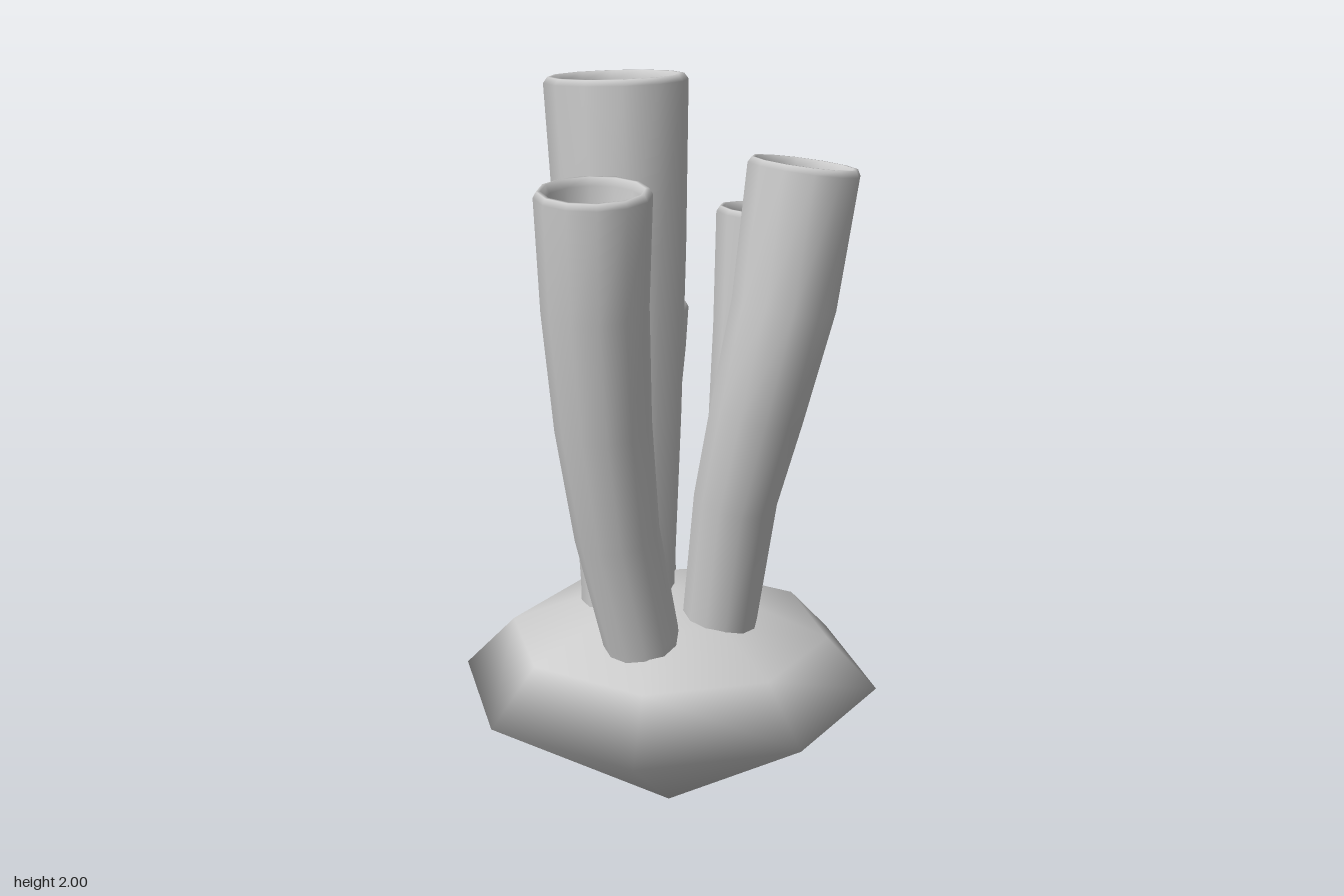
import * as THREE from 'three';
import { mergeVertices } from 'three/addons/utils/BufferGeometryUtils.js';

const SIDES = 12;
const material = new THREE.MeshStandardMaterial({ color: 0xcccccc, side: THREE.DoubleSide });

// Eight-sided rock: pointed below, domed above, smooth normals
function createRock() {
  const profile = [[0, 0], [0.565, 0.38], [0.43, 0.52], [0.23, 0.6], [0, 0.64]];
  const lathe = new THREE.LatheGeometry(profile.map(([r, y]) => new THREE.Vector2(r, y)), 8);
  lathe.deleteAttribute('uv');
  lathe.deleteAttribute('normal');
  const geometry = mergeVertices(lathe, 1e-4);
  geometry.computeVertexNormals();
  const rock = new THREE.Mesh(geometry, material);
  rock.name = 'rock';
  return rock;
}

// Hollow tube from path rows [x, y, z, radius]: outer wall, rounded rim, inner cup
function createTube(name, rows) {
  const points = rows.map(([x, y, z]) => new THREE.Vector3(x, y, z));
  const last = rows.length - 1;
  const rings = rows.map((row, i) => ({
    center: points[i],
    tangent: points[Math.min(i + 1, last)].clone().sub(points[Math.max(i - 1, 0)]).normalize(),
    radius: row[3],
  }));

  // Rim and cup rings: [distance along the end direction, share of the radius]
  const { center, tangent, radius } = rings[last];
  const rim = [[0.015, 0.94], [0.015, 0.87], [-0.005, 0.81], [-0.12, 0.72], [-0.22, 0.5], [-0.25, 0.002]];
  for (const [offset, share] of rim) {
    rings.push({ center: center.clone().addScaledVector(tangent, offset), tangent, radius: radius * share });
  }

  const positions = [];
  const indices = [];
  rings.forEach((ring, i) => {
    const u = new THREE.Vector3(1, 0, 0).addScaledVector(ring.tangent, -ring.tangent.x).normalize();
    const v = new THREE.Vector3().crossVectors(ring.tangent, u);
    for (let j = 0; j < SIDES; j++) {
      const angle = (j / SIDES) * Math.PI * 2;
      const p = ring.center.clone()
        .addScaledVector(u, ring.radius * Math.cos(angle))
        .addScaledVector(v, ring.radius * Math.sin(angle));
      positions.push(p.x, p.y, p.z);
      if (i === 0) continue;
      const k = (j + 1) % SIDES;
      const low = (i - 1) * SIDES;
      const high = i * SIDES;
      indices.push(low + j, low + k, high + k, low + j, high + k, high + j);
    }
  });
  const geometry = new THREE.BufferGeometry();
  geometry.setAttribute('position', new THREE.Float32BufferAttribute(positions, 3));
  geometry.setIndex(indices);
  geometry.computeVertexNormals();
  const tube = new THREE.Mesh(geometry, material);
  tube.name = name;
  return tube;
}

export function createModel() {
  const model = new THREE.Group();
  model.name = 'tubeSponge';
  model.add(createRock());

  const tubes = {
    tallTube: [
      [-0.09, 0.5, 0.07, 0.125], [-0.092, 0.65, 0.07, 0.127], [-0.105, 1.1, 0.065, 0.148],
      [-0.125, 1.55, 0.06, 0.168], [-0.15, 1.977, 0.055, 0.184],
    ],
    frontTube: [
      [0.13, 0.5, 0.17, 0.095], [0.135, 0.6, 0.19, 0.1], [0.15, 0.9, 0.27, 0.108],
      [0.175, 1.2, 0.325, 0.12], [0.195, 1.5, 0.358, 0.13], [0.21, 1.775, 0.37, 0.14],
    ],
    leftTube: [
      [0.145, 0.48, -0.05, 0.095], [0.16, 0.6, -0.052, 0.1], [0.205, 0.94, -0.065, 0.11],
      [0.28, 1.2, -0.075, 0.122], [0.325, 1.47, -0.115, 0.132], [0.33, 1.8, -0.165, 0.14],
    ],
    backTube: [
      [-0.04, 0.48, -0.2, 0.085], [-0.04, 0.6, -0.23, 0.09], [-0.045, 0.95, -0.29, 0.105],
      [-0.045, 1.3, -0.33, 0.122], [-0.045, 1.605, -0.36, 0.14],
    ],
    shortTube: [
      [-0.25, 0.47, -0.11, 0.085], [-0.285, 0.6, -0.12, 0.09], [-0.32, 0.76, -0.13, 0.1],
      [-0.362, 0.97, -0.15, 0.118], [-0.385, 1.2, -0.17, 0.138], [-0.39, 1.31, -0.175, 0.144],
    ],
  };
  for (const [name, rows] of Object.entries(tubes)) model.add(createTube(name, rows));
  return model;
}
